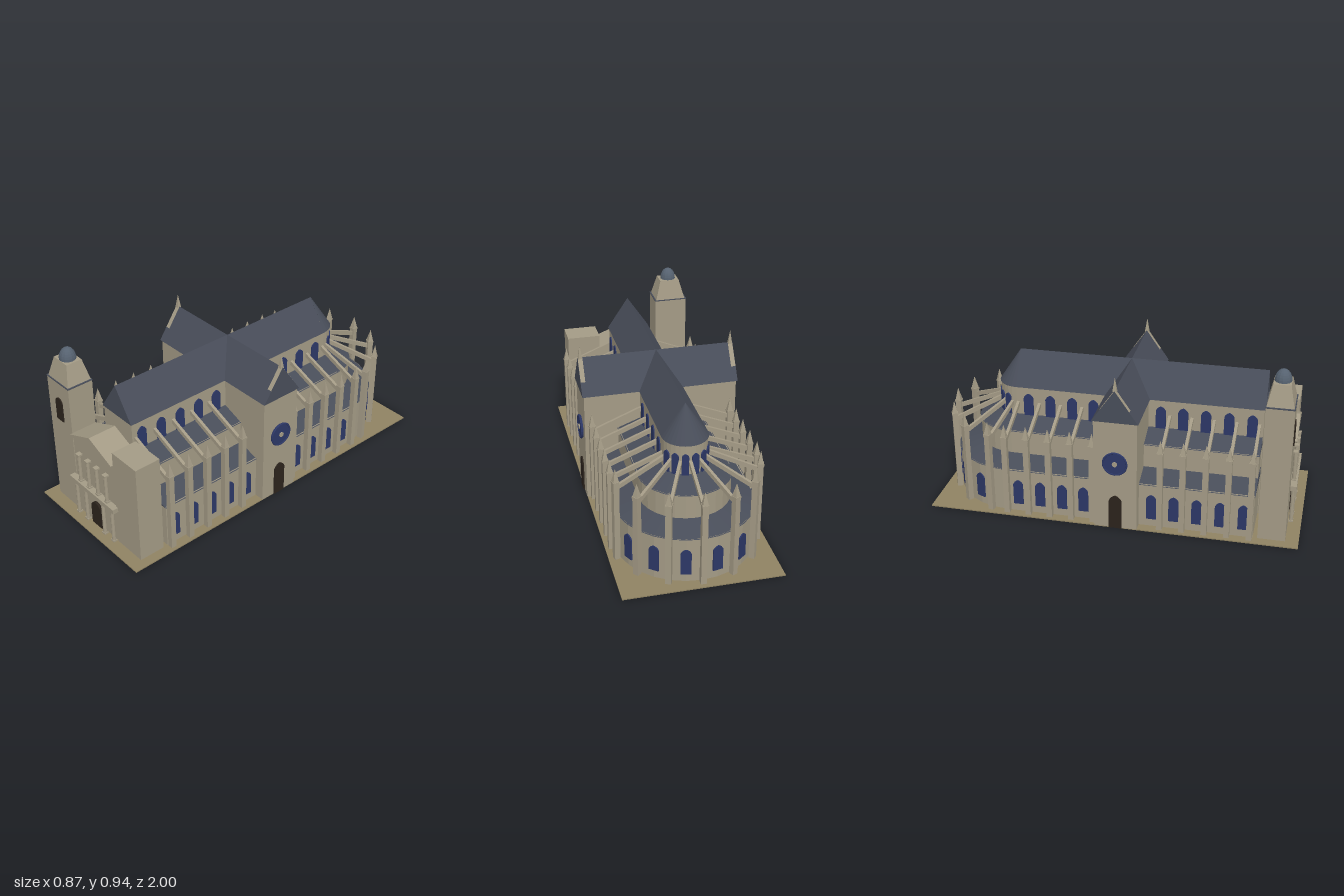
import * as THREE from 'three';

const mat = (color) => new THREE.MeshStandardMaterial({ color, flatShading: true, side: THREE.DoubleSide });

export function createModel() {
  const root = new THREE.Group();
  const stone = mat(0xa39a85), slate = mat(0x484d59), glass = mat(0x2c3766);
  const wood = mat(0x2b231c), ground = mat(0x8f8262), dome = mat(0x566270);
  const APSE_Z = -0.58, STEP = Math.PI / 7;

  function add(name, geo, material, x = 0, y = 0, z = 0, ry = 0, parent = root) {
    const m = new THREE.Mesh(geo, material);
    m.name = name;
    m.position.set(x, y, z);
    m.rotation.y = ry;
    parent.add(m);
    return m;
  }
  // box given by its limits
  const box = (name, material, x0, x1, y0, y1, z0, z1, parent = root) =>
    add(name, new THREE.BoxGeometry(x1 - x0, y1 - y0, z1 - z0), material,
      (x0 + x1) / 2, (y0 + y1) / 2, (z0 + z1) / 2, 0, parent);
  // outline in x/y pushed along z from z0 to z1
  function prism(points, z0, z1) {
    const shape = new THREE.Shape(points.map(([x, y]) => new THREE.Vector2(x, y)));
    return new THREE.ExtrudeGeometry(shape, { depth: z1 - z0, bevelEnabled: false }).translate(0, 0, z0);
  }
  // four-sided tapering block standing on y = 0
  const taper = (bottom, top, h) =>
    new THREE.CylinderGeometry(top * Math.SQRT2, bottom * Math.SQRT2, h, 4).rotateY(Math.PI / 4).translate(0, h / 2, 0);
  // round-headed opening, w wide and h high, facing +z
  function arch(w, h, pointed = false, depth = 0.012) {
    const s = new THREE.Shape(), r = w / 2;
    s.moveTo(-r, 0);
    s.lineTo(r, 0);
    s.lineTo(r, h - r);
    if (pointed) {
      s.quadraticCurveTo(r * 0.8, h - r * 0.3, 0, h);
      s.quadraticCurveTo(-r * 0.8, h - r * 0.3, -r, h - r);
    } else s.absarc(0, h - r, r, 0, Math.PI, false);
    return new THREE.ExtrudeGeometry(s, { depth, bevelEnabled: false, curveSegments: 8 }).translate(0, 0, -depth / 2);
  }
  // half ring around the apse centre
  const halfRing = (name, material, rBottom, rTop, y0, y1, segs = 14) =>
    add(name, new THREE.CylinderGeometry(rTop, rBottom, y1 - y0, segs, 1, true, Math.PI / 2, Math.PI),
      material, 0, (y0 + y1) / 2, APSE_Z);

  box('base', ground, -0.415, 0.415, 0, 0.006, -1, 1);

  // nave, aisles and their roofs
  box('naveWall', stone, -0.115, 0.115, 0.006, 0.635, APSE_Z, 0.765);
  add('naveRoof', prism([[-0.12, 0.63], [0.12, 0.63], [0, 0.808]], APSE_Z, 0.77), slate);
  box('outerAisleWall', stone, -0.362, 0.362, 0.006, 0.255, APSE_Z, 0.76);
  box('innerAisleWall', stone, -0.237, 0.237, 0.25, 0.425, APSE_Z, 0.76);
  for (const [r, ri, y0, y1] of [[0.367, 0.237, 0.252, 0.292], [0.242, 0.115, 0.422, 0.47]])
    add('aisleRoof', prism([[-r, y0], [r, y0], [ri, y1], [-ri, y1]], APSE_Z, 0.763), slate);

  // rounded east end
  halfRing('apseOuterWall', stone, 0.362, 0.362, 0.006, 0.255);
  halfRing('apseOuterRoof', slate, 0.367, 0.237, 0.252, 0.292);
  halfRing('apseInnerWall', stone, 0.237, 0.237, 0.25, 0.425);
  halfRing('apseInnerRoof', slate, 0.242, 0.115, 0.422, 0.47);
  halfRing('apseUpperWall', stone, 0.115, 0.115, 0.42, 0.635);
  halfRing('apseTopRoof', slate, 0.12, 0.0005, 0.63, 0.808);

  // transept
  const TZ = 0.037;
  box('transeptWall', stone, -0.418, 0.418, 0.006, 0.635, TZ - 0.115, TZ + 0.115);
  add('transeptRoof', prism([[-0.123, 0.63], [0.123, 0.63], [0, 0.808]], -0.426, 0.426), slate, 0, 0, TZ, Math.PI / 2);
  for (const s of [-1, 1]) {
    const end = new THREE.Group();
    end.name = 'transeptEnd';
    end.position.set(s * 0.418, 0, TZ);
    end.rotation.y = s * Math.PI / 2;
    root.add(end);
    add('transeptDoor', arch(0.07, 0.195, true, 0.014), wood, 0, 0.006, 0, 0, end);
    add('roseWindow', new THREE.CylinderGeometry(0.064, 0.064, 0.016, 24).rotateX(Math.PI / 2), glass, 0, 0.393, 0.002, 0, end);
    add('roseRim', new THREE.TorusGeometry(0.062, 0.006, 6, 24), glass, 0, 0.393, 0.008, 0, end);
    add('roseHub', new THREE.CylinderGeometry(0.014, 0.014, 0.024, 12).rotateX(Math.PI / 2), stone, 0, 0.393, 0.004, 0, end);
    // gable coping on both slopes and the finial
    for (const t of [-1, 1])
      add('gableCoping', prism([[0, 0.792], [0, 0.81], [t * 0.077, 0.698], [t * 0.068, 0.692]], -0.018, 0.007), stone, 0, 0, 0, 0, end);
    add('gableFinial', taper(0.011, 0.0005, 0.073), stone, 0, 0.802, -0.006, 0, end);
  }

  // buttress: pier, pinnacle and flying arm, reaching out along its own +x
  const pierGeo = new THREE.BoxGeometry(0.03, 0.454, 0.03);
  const capGeo = new THREE.BoxGeometry(0.034, 0.01, 0.034);
  const pinnacleGeo = taper(0.015, 0.0005, 0.07);
  const armGeo = prism([[0.105, 0.525], [0.375, 0.415], [0.375, 0.44], [0.105, 0.55]], -0.008, 0.008);
  function buttress(z, angle) {
    const g = new THREE.Group();
    g.name = 'buttress';
    g.position.z = z;
    g.rotation.y = angle;
    add('pier', pierGeo, stone, 0.382, 0.233, 0, 0, g);
    add('pierCap', capGeo, stone, 0.382, 0.458, 0, 0, g);
    add('pinnacle', pinnacleGeo, stone, 0.382, 0.462, 0, 0, g);
    add('flyingArm', armGeo, stone, 0, 0, 0, 0, g);
    root.add(g);
  }
  const lowWindow = arch(0.054, 0.145, true), highWindow = arch(0.054, 0.13, true);
  const apseHighWindow = arch(0.036, 0.12, true);
  for (const side of [0, Math.PI]) {
    const s = side ? -1 : 1;
    for (let i = 0; i < 5; i++) {
      buttress(0.743 - 0.119 * i, side);
      buttress(-0.095 - 0.119 * i, side);
    }
    for (const z of [0.706, 0.584, 0.461, 0.339, 0.219, -0.15, -0.268, -0.39, -0.512]) {
      add('aisleWindow', lowWindow, glass, s * 0.362, 0.05, z, s * Math.PI / 2);
      add('upperWindow', highWindow, glass, s * 0.115, 0.465, z, s * Math.PI / 2);
    }
  }
  for (let k = -3; k <= 3; k++) buttress(APSE_Z, Math.PI / 2 + k * STEP);
  for (let k = -3; k < 3; k++) {
    const a = Math.PI / 2 + (k + 0.5) * STEP, c = Math.cos(a), d = -Math.sin(a);
    add('apseWindow', lowWindow, glass, 0.361 * c, 0.05, APSE_Z + 0.361 * d, a + Math.PI / 2);
    add('apseUpperWindow', apseHighWindow, glass, 0.115 * c, 0.465, APSE_Z + 0.115 * d, a + Math.PI / 2);
  }

  // west front: tall tower, unfinished tower and centre with gable
  const F0 = 0.785, F1 = 0.93;
  box('towerShaft', stone, -0.362, -0.175, 0.006, 0.765, F0, F1);
  box('towerRim', slate, -0.364, -0.173, 0.762, 0.767, F0 - 0.002, F1 + 0.002);
  add('towerTop', taper(0.087, 0.056, 0.113), stone, -0.268, 0.766, 0.857).scale.z = 0.8;
  add('towerDome', new THREE.SphereGeometry(0.044, 14, 7, 0, Math.PI * 2, 0, Math.PI / 2), dome, -0.268, 0.879, 0.857).scale.y = 1.42;
  add('towerWindow', arch(0.058, 0.135), wood, -0.268, 0.535, F1);
  box('lowTower', stone, 0.172, 0.362, 0.006, 0.573, F0, F1);
  box('frontWall', stone, -0.176, 0.173, 0.006, 0.498, F0, F1 - 0.004);
  add('frontGable', prism([[-0.175, 0.495], [0.175, 0.495], [0.175, 0.5], [0, 0.573], [-0.175, 0.5]], F0, 0.945), stone);
  add('frontDoor', arch(0.084, 0.148, false, 0.02), wood, 0, 0.006, F1);

  // porch balcony and its two rows of columns
  box('balcony', stone, -0.19, 0.19, 0.212, 0.238, 0.92, 0.962);
  function column(x, y0, y1, z) {
    add('column', new THREE.CylinderGeometry(0.01, 0.011, y1 - y0, 10), stone, x, (y0 + y1) / 2, z);
    box('columnCap', stone, x - 0.014, x + 0.014, y1 - 0.009, y1, z - 0.013, z + 0.013);
    box('columnFoot', stone, x - 0.013, x + 0.013, y0, y0 + 0.008, z - 0.012, z + 0.012);
  }
  for (const s of [-1, 1]) {
    for (const x of [0.154, 0.076]) column(s * x, 0.006, 0.212, 0.944);
    for (const x of [0.114, 0.038]) column(s * x, 0.238, 0.41, 0.941);
  }
  return root;
}
